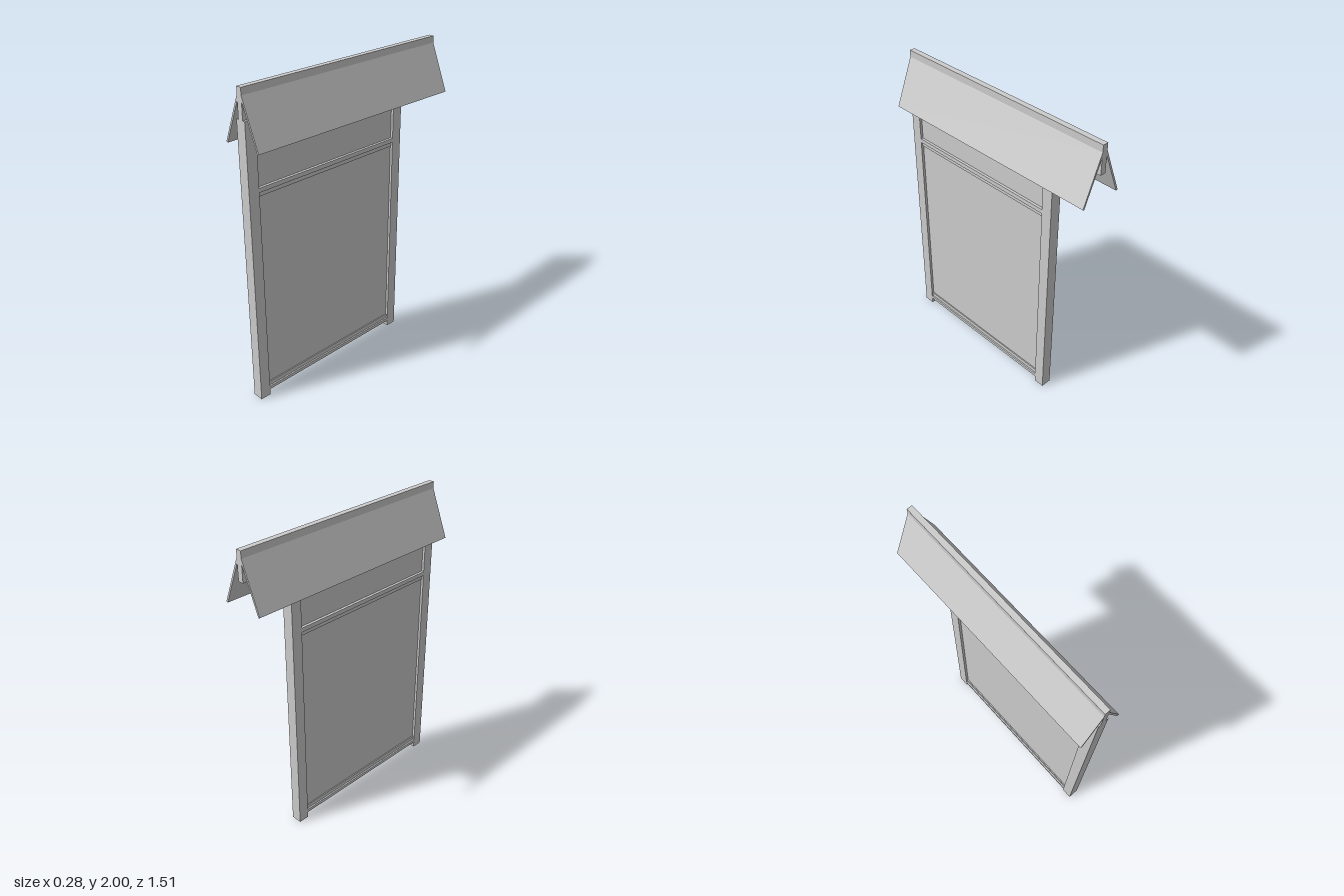
import * as THREE from 'three';

export function createModel() {
  const group = new THREE.Group();
  const material = new THREE.MeshStandardMaterial({ color: 0xcccccc, flatShading: true });

  // Box spanning x = -hx..hx, y0..y1 and z0..z1
  function board(name, hx, y0, y1, z0, z1) {
    const mesh = new THREE.Mesh(new THREE.BoxGeometry(hx * 2, y1 - y0, z1 - z0), material);
    mesh.position.set(0, (y0 + y1) / 2, (z0 + z1) / 2);
    mesh.name = name;
    group.add(mesh);
  }

  const half = 0.757;   // half length of the roof
  const inFront = 0.687, inBack = -0.382;   // inner faces of the posts

  // Posts
  board('frontPost', 0.035, 0, 1.82, inFront, half);
  board('backPost', 0.035, 0, 1.82, -0.452, inBack);

  // Recessed panel between the posts
  board('panel', 0.018, 0.045, 1.82, inBack, inFront);

  // Rails flush with the posts, each with a narrower stepped moulding
  board('bottomRail', 0.035, 0.04, 0.062, inBack, inFront);
  board('bottomMoulding', 0.025, 0.05, 0.09, inBack, inFront);
  board('middleRail', 0.035, 1.393, 1.42, inBack, inFront);
  board('middleMoulding', 0.025, 1.365, 1.41, inBack, inFront);

  // Ridge beam
  board('ridgeBeam', 0.018, 1.82, 2, -half, half);

  // Sloping roof boards, mirrored left and right
  for (const s of [1, -1]) {
    const points = [[0.018, 1.957], [0.138, 1.665], [0.127, 1.66], [0.018, 1.925]];
    const shape = new THREE.Shape(points.map(([x, y]) => new THREE.Vector2(s * x, y)));
    const geometry = new THREE.ExtrudeGeometry(shape, { depth: half * 2, bevelEnabled: false });
    geometry.translate(0, 0, -half);
    const roof = new THREE.Mesh(geometry, material);
    roof.name = s > 0 ? 'leftRoofBoard' : 'rightRoofBoard';
    group.add(roof);
  }

  return group;
}
